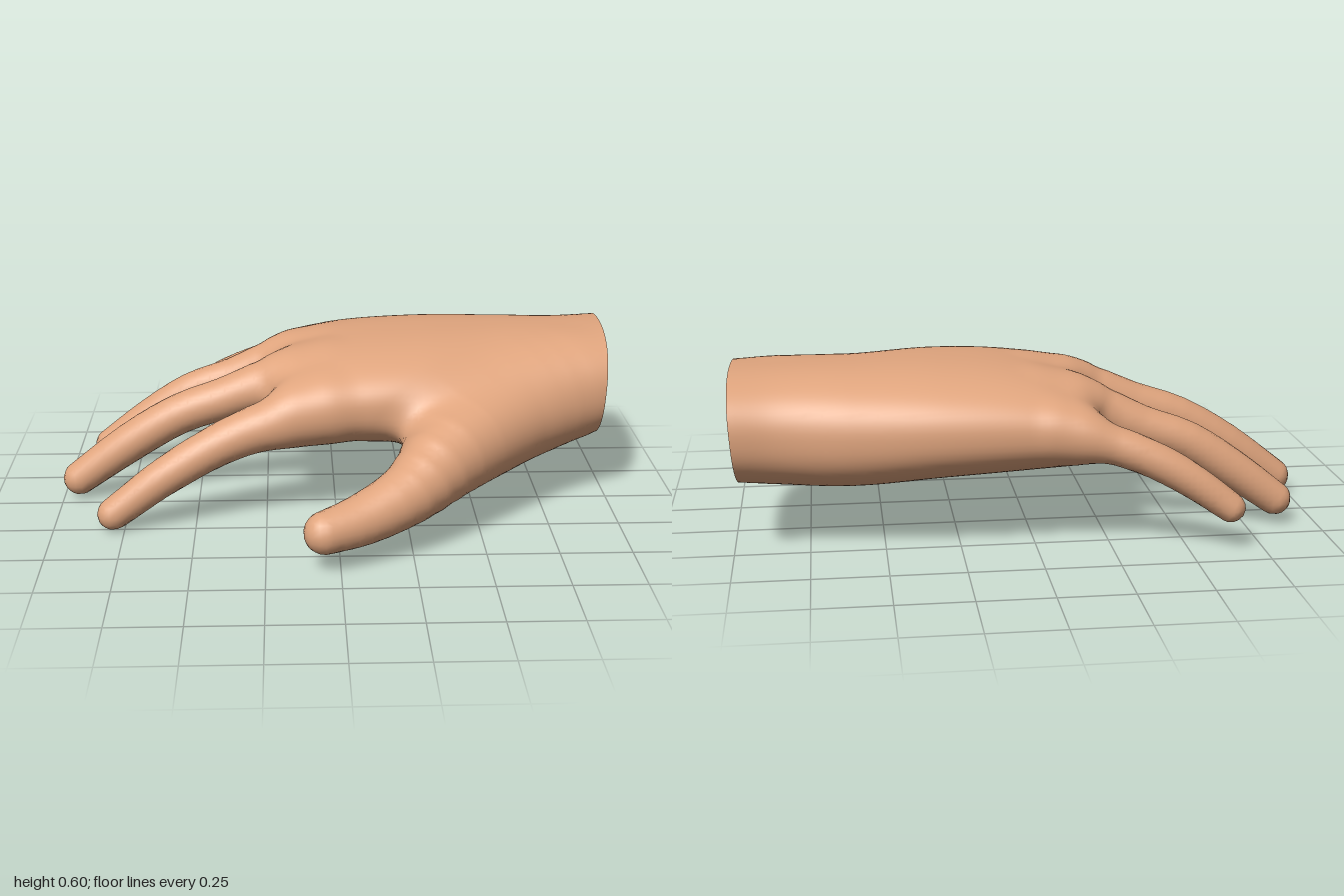
import * as THREE from 'three';

// Palm cross-sections along x: [x, centre y, centre z, half height, half width]
const SECTIONS = [
  [-0.26, 0.38, -0.21, 0.13, 0.42],
  [-0.15, 0.382, -0.21, 0.148, 0.422],
  [0, 0.393, -0.213, 0.172, 0.425],
  [0.3, 0.395, -0.225, 0.194, 0.412],
  [0.6, 0.385, -0.262, 0.203, 0.348],
  [0.85, 0.39, -0.267, 0.197, 0.31],
  [1.0, 0.4, -0.283, 0.19, 0.302],
];

// Digits from tip to root: [x, y, z, radius]; blend is the fillet where they join the palm
const DIGITS = {
  indexFinger: { blend: 0.09, path: [
    [-0.788, 0.05, 0.243, 0.057], [-0.6, 0.182, 0.215, 0.067], [-0.4, 0.29, 0.182, 0.075],
    [-0.22, 0.35, 0.15, 0.088], [-0.05, 0.38, 0.11, 0.092]] },
  middleFinger: { blend: 0.1, path: [
    [-0.94, 0.065, -0.066, 0.061], [-0.75, 0.2, -0.074, 0.071], [-0.57, 0.305, -0.08, 0.073],
    [-0.4, 0.362, -0.088, 0.077], [-0.22, 0.42, -0.096, 0.09], [-0.05, 0.425, -0.11, 0.09]] },
  ringFinger: { blend: 0.1, path: [
    [-0.858, 0.08, -0.38, 0.058], [-0.7, 0.195, -0.375, 0.066], [-0.54, 0.297, -0.371, 0.068],
    [-0.38, 0.353, -0.365, 0.072], [-0.22, 0.412, -0.354, 0.084], [-0.05, 0.42, -0.34, 0.085]] },
  littleFinger: { blend: 0.07, path: [
    [-0.634, 0.139, -0.637, 0.05], [-0.5, 0.235, -0.622, 0.057], [-0.37, 0.307, -0.606, 0.061],
    [-0.22, 0.363, -0.582, 0.064], [-0.07, 0.4, -0.55, 0.066]] },
  thumb: { blend: 0.13, path: [
    [-0.052, 0.13, 0.612, 0.073], [0.08, 0.148, 0.54, 0.088], [0.24, 0.198, 0.437, 0.108],
    [0.4, 0.27, 0.255, 0.15], [0.64, 0.315, 0.02, 0.165], [0.85, 0.355, -0.11, 0.145]] },
};

const clamp = THREE.MathUtils.clamp;

// Minimum of two distances with a rounded fillet of size k
function blendMin(a, b, k) {
  const h = Math.max(k - Math.abs(a - b), 0) / k;
  return Math.min(a, b) - h * h * k / 4;
}

// Distance to the palm: a squarish oval that changes along x, rounded off at the knuckles
function makePalm() {
  const sections = new THREE.CubicInterpolant(
    SECTIONS.map((s) => s[0]), SECTIONS.flatMap((s) => s.slice(1)), 4, new Float32Array(4));
  const power = 2.4;
  return (x, y, z) => {
    const [cy, cz, hy, hz] = sections.evaluate(clamp(x, -0.26, 1));
    const u = Math.abs(y - cy) / hy, v = Math.abs(z - cz) / hz;
    const k = Math.max((u ** power + v ** power) ** (1 / power), 0.05);
    const slope = Math.hypot((u / k) ** (power - 1) / hy, (v / k) ** (power - 1) / hz);
    const side = (k - 1) / Math.max(slope, 1 / hz);
    return -blendMin(-side, x + 0.205, 0.09);
  };
}

// Distance to a digit: a tapered tube along a smooth path
function makeDigit(path) {
  const curve = (points) => new THREE.CatmullRomCurve3(points, false, 'catmullrom', 0.5);
  const centre = curve(path.map((p) => new THREE.Vector3(p[0], p[1], p[2])));
  const radius = curve(path.map((p) => new THREE.Vector3(p[3], 0, 0)));
  const count = 15;
  const nodes = Array.from({ length: count + 1 }, (_, i) => {
    const p = centre.getPoint(i / count);
    return [p.x, p.y, p.z, radius.getPoint(i / count).x];
  });
  return (x, y, z) => {
    let best = Infinity;
    for (let i = 0; i < count; i++) {
      const a = nodes[i], b = nodes[i + 1];
      const dx = b[0] - a[0], dy = b[1] - a[1], dz = b[2] - a[2];
      const px = x - a[0], py = y - a[1], pz = z - a[2];
      const t = clamp((px * dx + py * dy + pz * dz) / (dx * dx + dy * dy + dz * dz), 0, 1);
      const d = Math.hypot(px - t * dx, py - t * dy, pz - t * dz) - a[3] - t * (b[3] - a[3]);
      best = Math.min(best, d);
    }
    return best;
  };
}

// Skin the field on a grid: one vertex per crossed cell, one quad per crossed edge.
// The grid stops at the wrist, which leaves it open.
function skin(field) {
  const h = 0.022, wrist = 0.985;
  const size = [95, 32, 68];
  const origin = [wrist - (size[0] - 1.5) * h, -0.05, -0.75];
  const step = [1, size[0], size[0] * size[1]];
  const values = new Float32Array(size[0] * size[1] * size[2]);
  const at = (c, a) => origin[a] + c[a] * h;
  const eachPoint = (visit) => {
    for (let k = 0, n = 0; k < size[2]; k++)
      for (let j = 0; j < size[1]; j++)
        for (let i = 0; i < size[0]; i++, n++) visit([i, j, k], n);
  };
  eachPoint((c, n) => { values[n] = field(at(c, 0), at(c, 1), at(c, 2)); });

  const cells = new Map(), quads = [];
  eachPoint((c, n) => {
    for (let a = 0; a < 3; a++) {
      if (c[a] === size[a] - 1) continue;
      const f0 = values[n], f1 = values[n + step[a]];
      if ((f0 < 0) === (f1 < 0)) continue;
      const b = step[(a + 1) % 3], d = step[(a + 2) % 3];
      const p = [at(c, 0), at(c, 1), at(c, 2)];
      p[a] += h * f0 / (f0 - f1);
      const quad = [n - b - d, n - d, n, n - b];
      for (const key of quad) {
        if (!cells.has(key)) cells.set(key, { sum: [0, 0, 0], count: 0, last: key % size[0] === size[0] - 2 });
        const cell = cells.get(key);
        p.forEach((value, m) => { cell.sum[m] += value; });
        cell.count++;
      }
      if (a !== 0 && c[0] === size[0] - 1) continue;
      quads.push(f0 < 0 ? quad : quad.reverse());
    }
  });

  // Settle each vertex on the surface and take its smooth normal there
  const gradient = ([x, y, z], e) => [
    (field(x + e, y, z) - field(x - e, y, z)) / (2 * e),
    (field(x, y + e, z) - field(x, y - e, z)) / (2 * e),
    (field(x, y, z + e) - field(x, y, z - e)) / (2 * e)];
  const positions = [], normals = [];
  for (const cell of cells.values()) {
    const p = cell.sum.map((s) => s / cell.count);
    for (let i = 0; i < 3; i++) {
      if (cell.last) p[0] = wrist;
      const g = gradient(p, 0.004);
      const move = clamp(field(...p), -h, h) / Math.max(g[0] ** 2 + g[1] ** 2 + g[2] ** 2, 0.3);
      for (let m = 0; m < 3; m++) p[m] -= g[m] * move;
    }
    cell.id = positions.length / 3;
    cell.point = p;
    const normal = new THREE.Vector3(...gradient(p, 0.016)).normalize();
    normals.push(normal.x, normal.y, normal.z);
    // Slant the wrist opening a little
    const slant = clamp((p[0] - 0.8) / 0.18, 0, 1) * (0.07 * (p[1] - 0.4) - 0.03 * (p[2] + 0.3));
    positions.push(p[0] + slant, p[1], p[2]);
  }
  return { positions, normals, quads: quads.map((q) => q.map((key) => cells.get(key))) };
}

export function createModel() {
  const skinMaterial = new THREE.MeshStandardMaterial({ color: 0xe0a57e, side: THREE.DoubleSide });
  skinMaterial.name = 'skin';

  const palm = makePalm();
  const digits = Object.entries(DIGITS).map(([name, d]) => ({ name, blend: d.blend, field: makeDigit(d.path) }));
  const field = (x, y, z) =>
    digits.reduce((d, digit) => blendMin(d, digit.field(x, y, z), digit.blend), palm(x, y, z));
  const { positions, normals, quads } = skin(field);

  // Share the faces out to the nearest part, so that the skin stays seamless
  const indices = { palm: [] };
  for (const digit of digits) indices[digit.name] = [];
  for (const [a, b, c, d] of quads) {
    let name = 'palm', best = palm(...a.point);
    for (const digit of digits) {
      const distance = digit.field(...a.point);
      if (distance < best) { best = distance; name = digit.name; }
    }
    indices[name].push(a.id, b.id, c.id, a.id, c.id, d.id);
  }

  const hand = new THREE.Group();
  hand.name = 'hand';
  for (const [name, index] of Object.entries(indices)) {
    const shared = new THREE.BufferGeometry();
    shared.setAttribute('position', new THREE.Float32BufferAttribute(positions, 3));
    shared.setAttribute('normal', new THREE.Float32BufferAttribute(normals, 3));
    shared.setIndex(index);
    const mesh = new THREE.Mesh(shared.toNonIndexed(), skinMaterial);
    mesh.name = name;
    hand.add(mesh);
  }
  return hand;
}
